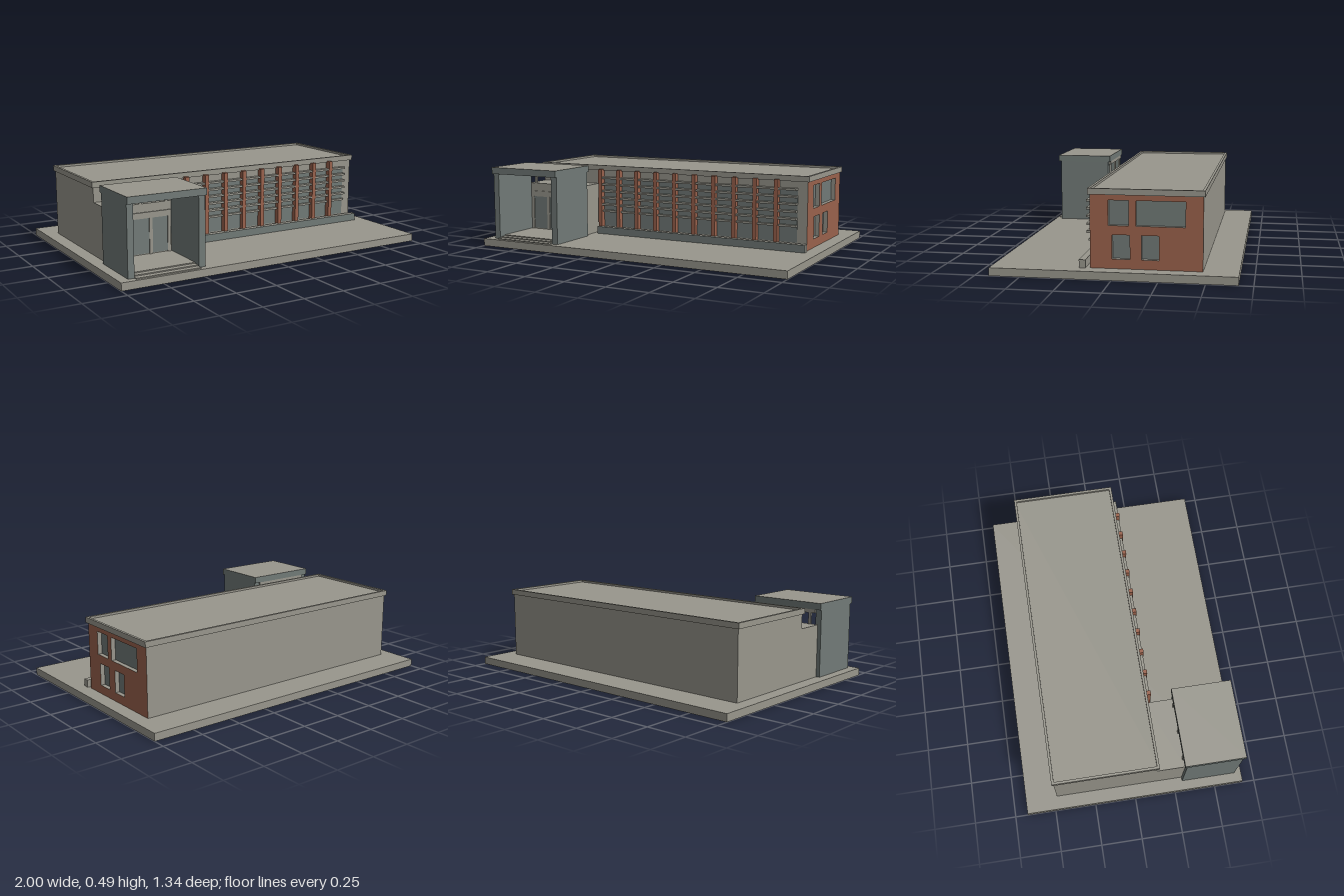
import * as THREE from 'three';

const concrete = new THREE.MeshStandardMaterial({ name: 'concrete', color: 0x98968c });
const slate = new THREE.MeshStandardMaterial({ name: 'slate grey', color: 0x717a77 });
const brick = new THREE.MeshStandardMaterial({ name: 'brick', color: 0x9a624c });

// Box given by its extents on each axis
function block(parent, name, mat, [x0, x1], [y0, y1], [z0, z1]) {
  const mesh = new THREE.Mesh(new THREE.BoxGeometry(x1 - x0, y1 - y0, z1 - z0), mat);
  mesh.position.set((x0 + x1) / 2, (y0 + y1) / 2, (z0 + z1) / 2);
  mesh.name = name;
  parent.add(mesh);
  return mesh;
}

function rectangle(Type, x0, x1, y0, y1) {
  const p = new Type();
  p.moveTo(x0, y0);
  p.lineTo(x1, y0);
  p.lineTo(x1, y1);
  p.lineTo(x0, y1);
  p.closePath();
  return p;
}

function group(parent, name) {
  const g = new THREE.Group();
  g.name = name;
  parent.add(g);
  return g;
}

function buildHall(model) {
  const hall = group(model, 'mainHall');
  block(hall, 'hallBody', concrete, [-0.92, 0.885], [0.045, 0.45], [-0.48, 0.13]);

  // Brick end wall with deep window openings; u runs towards -z
  const wall = rectangle(THREE.Shape, -0.13, 0.48, 0.045, 0.45);
  const windows = [
    [-0.03, 0.08, 0.28, 0.417], [0.12, 0.385, 0.28, 0.417],
    [-0.01, 0.087, 0.097, 0.23], [0.15, 0.245, 0.097, 0.23],
  ];
  for (const w of windows) {
    wall.holes.push(rectangle(THREE.Path, ...w));
    block(hall, 'endWindow', slate, [0.884, 0.889], [w[2], w[3]], [-w[1], -w[0]]);
  }
  const wallGeo = new THREE.ExtrudeGeometry(wall, { depth: 0.03, bevelEnabled: false });
  wallGeo.rotateY(Math.PI / 2);
  const endWall = new THREE.Mesh(wallGeo, [brick, concrete]);
  endWall.position.x = 0.885;
  endWall.name = 'brickEndWall';
  hall.add(endWall);

  // Roof slab with a raised rim
  block(hall, 'roofSlab', concrete, [-0.93, 0.925], [0.447, 0.467], [-0.489, 0.141]);
  const rim = rectangle(THREE.Shape, -0.93, 0.925, -0.141, 0.489);
  rim.holes.push(rectangle(THREE.Path, -0.915, 0.91, -0.126, 0.474));
  const rimGeo = new THREE.ExtrudeGeometry(rim, { depth: 0.013, bevelEnabled: false });
  rimGeo.rotateX(-Math.PI / 2);
  const rimMesh = new THREE.Mesh(rimGeo, concrete);
  rimMesh.position.y = 0.467;
  rimMesh.name = 'roofRim';
  hall.add(rimMesh);
}

function buildFacade(model) {
  const facade = group(model, 'frontFacade');
  const pitch = 0.1332, half = 0.0125, first = -0.466;
  for (let i = 0; i < 10; i++) {
    const x = first + i * pitch;
    block(facade, 'brickFin', brick, [x - half, x + half], [0.045, 0.455], [0.13, 0.166]);
    // Window strip and sun louvres in the bay beside this fin
    const bay = [x + half, i < 9 ? x + pitch - half : 0.855];
    block(facade, 'bayWindow', slate, bay, [0.09, 0.405], [0.129, 0.133]);
    for (let j = 0; j < 6; j++) {
      const y = 0.181 + j * 0.043;
      block(facade, 'louvre', concrete, bay, [y, y + 0.012], [0.133, j ? 0.162 : 0.15]);
    }
  }
  // Low planter wall, dark on its front face only
  const faces = [concrete, concrete, concrete, concrete, slate, concrete];
  block(facade, 'lowWall', faces, [-0.475, 0.925], [0.045, 0.09], [0.154, 0.19]);
}

function buildEntrance(model) {
  const entrance = group(model, 'entrance');
  block(entrance, 'linkBlock', concrete, [-0.92, -0.5], [0.045, 0.36], [0.13, 0.3]);

  // Portico: two side walls and a roof with a pale top
  block(entrance, 'sideWall', slate, [-0.943, -0.905], [0.045, 0.45], [0.3, 0.631]);
  block(entrance, 'sideWall', slate, [-0.515, -0.475], [0.045, 0.45], [0.3, 0.631]);
  const roofFaces = [slate, slate, concrete, concrete, slate, slate];
  block(entrance, 'porticoRoof', roofFaces, [-0.945, -0.473], [0.45, 0.49], [0.287, 0.646]);

  // Floor and shallow steps
  [[0.051, 0.655], [0.057, 0.62], [0.063, 0.585]].forEach(([top, front]) =>
    block(entrance, 'step', concrete, [-0.905, -0.515], [0.045, top], [0.3, front]));

  // Open transom above the link roof
  block(entrance, 'transomLintel', concrete, [-0.905, -0.515], [0.428, 0.45], [0.289, 0.304]);
  for (const x of [-0.868, -0.708, -0.545])
    block(entrance, 'transomPost', concrete, [x - 0.008, x + 0.008], [0.36, 0.428], [0.29, 0.302]);

  // Door frame and glazed doors
  block(entrance, 'doorHead', concrete, [-0.9, -0.52], [0.275, 0.31], [0.3, 0.308]);
  for (const x of [-0.89, -0.77, -0.647, -0.53])
    block(entrance, 'doorPost', concrete, [x - 0.01, x + 0.01], [0.063, 0.275], [0.3, 0.308]);
  for (const [a, b] of [[-0.88, -0.78], [-0.76, -0.657], [-0.637, -0.54]])
    block(entrance, 'doorGlass', slate, [a, b], [0.068, 0.275], [0.299, 0.303]);
}

export function createModel() {
  const model = new THREE.Group();
  model.name = 'building';
  block(model, 'groundSlab', concrete, [-1, 1], [0, 0.045], [-0.672, 0.672]);
  buildHall(model);
  buildFacade(model);
  buildEntrance(model);
  return model;
}
